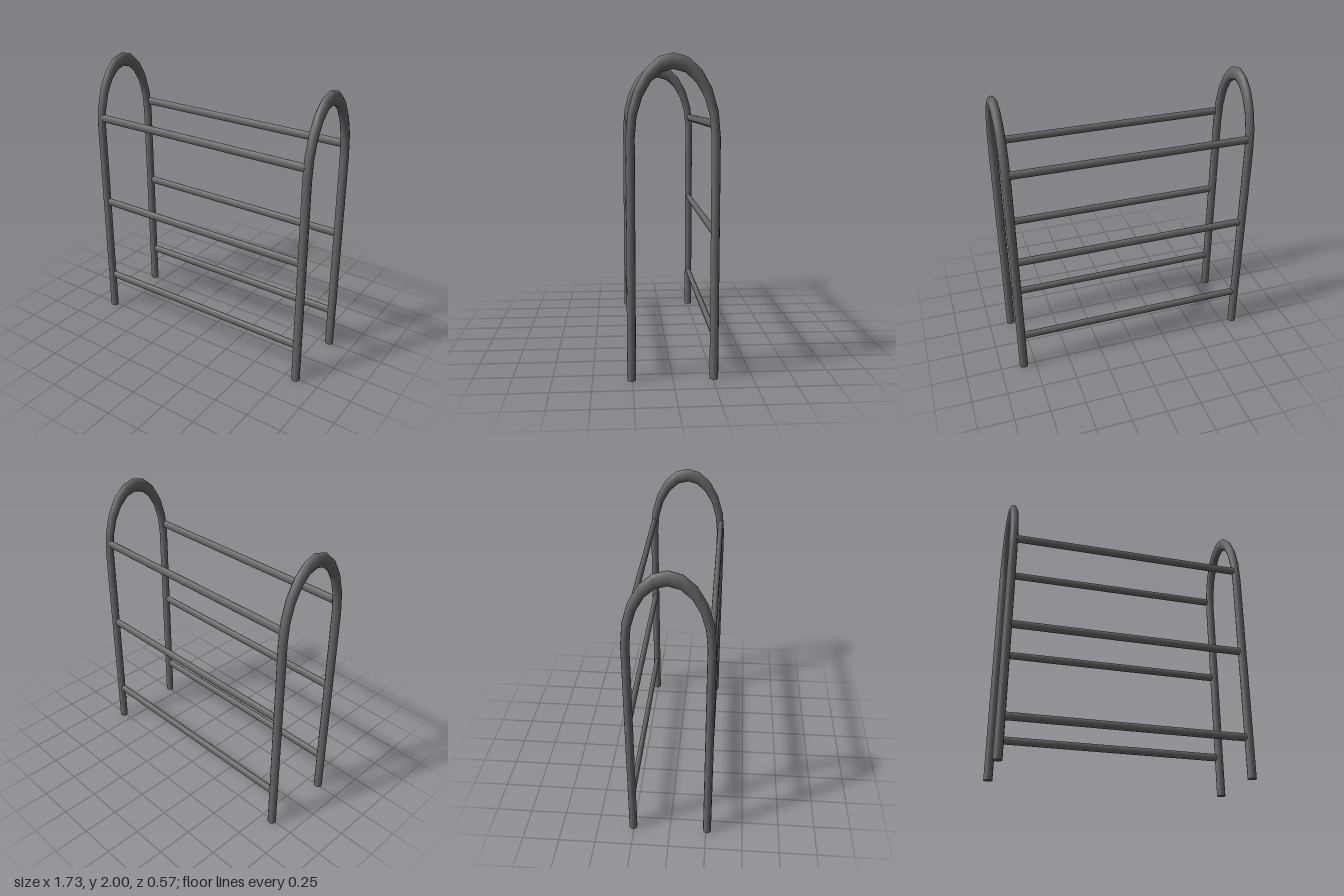
import * as THREE from 'three';

const SIDE_X = 0.835;    // centre of each hoop
const LEG_Z = 0.257;     // half the spacing of the legs
const SPRING_Y = 1.5;    // height where the arch begins
const TUBE = 0.0275;
const STRETCH_X = 1.1;   // tube is slightly wider across x
const STRETCH_Y = 1.757; // the arch is a half circle stretched upward
const RAIL_HEIGHTS = [0.283, 0.918, 1.578];

const material = new THREE.MeshStandardMaterial({ color: 0x666666 });

function addMesh(parent, name, geometry, x, y, z) {
  const mesh = new THREE.Mesh(geometry, material);
  mesh.name = name;
  mesh.position.set(x, y, z);
  parent.add(mesh);
}

export function createModel() {
  const model = new THREE.Group();
  model.name = 'rack';

  // Half-ring arch and round leg shared by both end hoops
  const arch = new THREE.TorusGeometry(LEG_Z, TUBE, 12, 10, Math.PI);
  arch.rotateY(Math.PI / 2);
  arch.scale(STRETCH_X, STRETCH_Y, 1);
  const leg = new THREE.CylinderGeometry(TUBE, TUBE, SPRING_Y, 12);
  leg.rotateY(Math.PI / 2);
  leg.scale(STRETCH_X, 1, 1);

  // Oval rail running along x between the hoops
  const rail = new THREE.CylinderGeometry(0.0195, 0.0195, 1.64, 12);
  rail.rotateZ(Math.PI / 2);
  rail.scale(1, 1.45, 1);

  // End hoops
  for (const [side, sx] of [['left', 1], ['right', -1]]) {
    const hoop = new THREE.Group();
    hoop.name = side + 'Hoop';
    hoop.position.x = sx * SIDE_X;
    addMesh(hoop, side + 'Arch', arch, 0, SPRING_Y, 0);
    addMesh(hoop, side + 'FrontLeg', leg, 0, SPRING_Y / 2, LEG_Z);
    addMesh(hoop, side + 'BackLeg', leg, 0, SPRING_Y / 2, -LEG_Z);
    model.add(hoop);
  }

  // Three rails on the front and three on the back
  RAIL_HEIGHTS.forEach((y, i) => {
    addMesh(model, 'frontRail' + (i + 1), rail, 0, y, LEG_Z);
    addMesh(model, 'backRail' + (i + 1), rail, 0, y, -LEG_Z);
  });

  return model;
}
